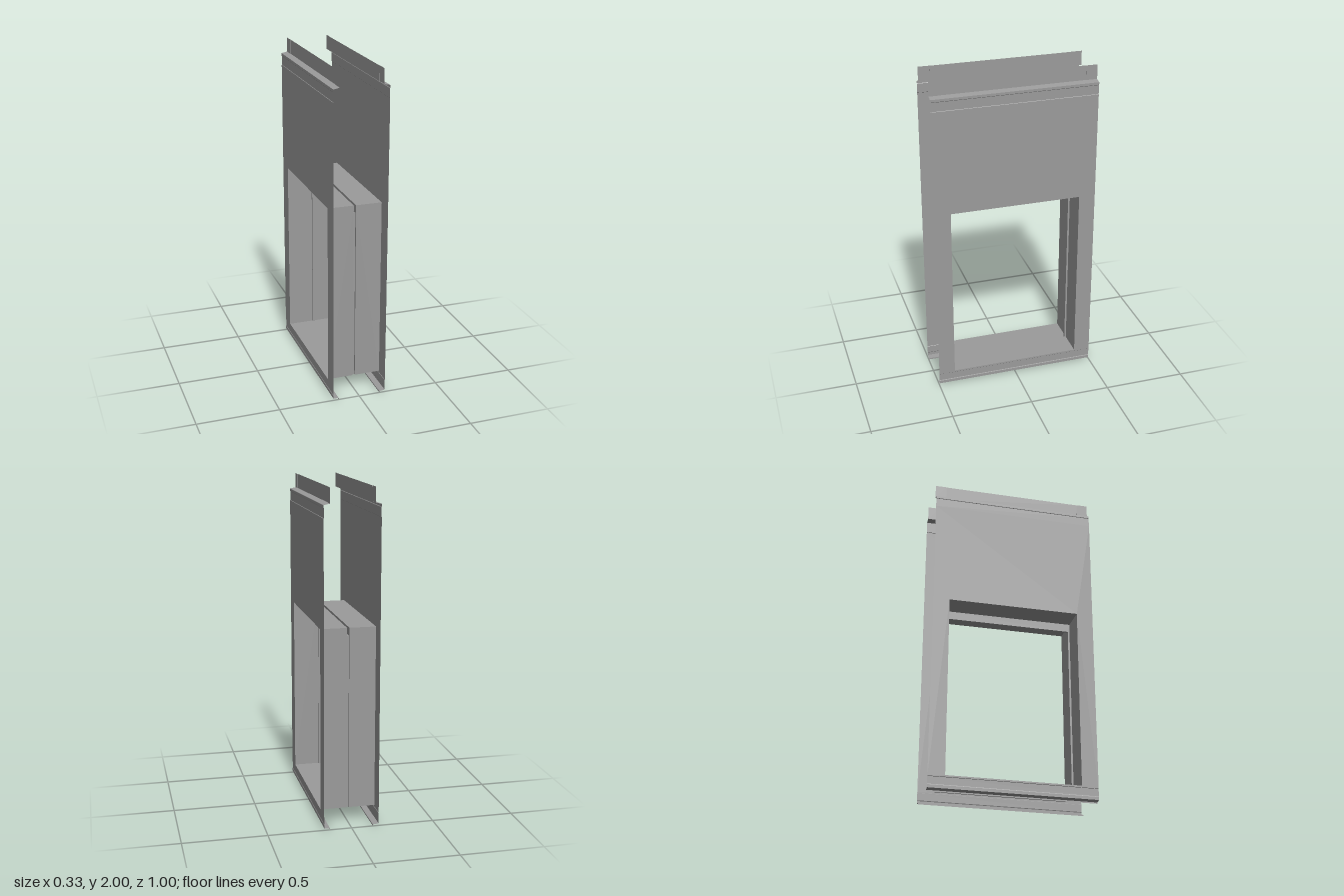
import * as THREE from 'three';

const material = new THREE.MeshStandardMaterial({
  color: 0x9b9b9b, flatShading: true, side: THREE.DoubleSide,
});

function addMesh(parent, name, geometry) {
  const mesh = new THREE.Mesh(geometry, material);
  mesh.name = name;
  parent.add(mesh);
}

// Folded sheet: sweeps a line of [a, b] points between two depths.
// place(a, b, d) turns them into a position.
function foldedSheet(points, d0, d1, place) {
  const pos = [];
  for (let i = 0; i < points.length - 1; i++) {
    const [a, b] = [points[i], points[i + 1]];
    const p = [place(...a, d0), place(...b, d0), place(...b, d1), place(...a, d1)];
    for (const k of [0, 1, 2, 0, 2, 3]) pos.push(...p[k]);
  }
  const g = new THREE.BufferGeometry();
  g.setAttribute('position', new THREE.Float32BufferAttribute(pos, 3));
  g.computeVertexNormals();
  return g;
}

const alongZ = (x, y, z) => [x, y, z];
const alongX = (z, y, x) => [x, y, z];
const alongY = (x, z, y) => [x, y, z];

const WALL = 0.165, BAND = 0.163, LIP = 0.1275, LIP_END = 0.1295, HALF = 0.498;
const OPEN_Z = 0.398, SILL = 0.09, HEAD = 1.188;
const SLOT = 0.007, SLOT_Z = 0.387, SLOT_HEAD = 1.138;

// Rectangle for outlines and holes
function rectangle(path, w, y0, y1) {
  path.moveTo(-w, y0);
  path.lineTo(w, y0);
  path.lineTo(w, y1);
  path.lineTo(-w, y1);
  path.closePath();
  return path;
}

// Closed loop of [z, y] points around an opening
const loop = (w, top) => [[-w, SILL], [-w, top], [w, top], [w, SILL], [-w, SILL]];

// Flat sheet with a hole, standing across x
function uprightSheet(w, y0, y1, holeW, hole1, x) {
  const shape = rectangle(new THREE.Shape(), w, y0, y1);
  shape.holes.push(rectangle(new THREE.Path(), holeW, SILL, hole1));
  return new THREE.ShapeGeometry(shape).rotateY(Math.PI / 2).translate(x, 0, 0);
}

// One outer sheet with its window, folded edges and half of the sleeve
function createSide() {
  const side = new THREE.Group();

  // flat wall with the window cut out
  addMesh(side, 'wallSheet', uprightSheet(HALF, 0.08, 1.83, OPEN_Z, HEAD, WALL));

  // shallow recessed band and shoulder along the top
  addMesh(side, 'topFold', foldedSheet([
    [WALL, 1.83], [BAND, 1.832], [BAND, 1.886], [WALL, 1.889],
    [WALL, 1.904], [LIP, 1.912],
  ], -HALF, HALF, alongZ));

  // upright lip, slightly stepped near both ends
  addMesh(side, 'topLip', foldedSheet([
    [LIP_END, -HALF], [LIP_END, -0.43], [LIP, -0.43],
    [LIP, 0.43], [LIP_END, 0.43], [LIP_END, HALF],
  ], 1.912, 2, alongY));

  // shallow recessed band and inward flange along the bottom
  addMesh(side, 'bottomFold', foldedSheet([
    [WALL, 0.08], [BAND, 0.078], [BAND, 0.034], [WALL, 0.03],
    [WALL, 0.012], [0.13, 0.008], [0.13, 0],
  ], -HALF, HALF, alongZ));

  // sleeve lining the window, reaching to the middle slot
  addMesh(side, 'windowSleeve', foldedSheet(loop(OPEN_Z, HEAD), SLOT, WALL, alongX));

  // narrow rim turned into the opening beside the slot
  const rim = new THREE.Shape([
    [-OPEN_Z, SILL], [-OPEN_Z, HEAD], [OPEN_Z, HEAD], [OPEN_Z, SILL],
    [SLOT_Z, SILL], [SLOT_Z, SLOT_HEAD], [-SLOT_Z, SLOT_HEAD], [-SLOT_Z, SILL],
  ].map(([z, y]) => new THREE.Vector2(z, y)));
  addMesh(side, 'sleeveRim',
    new THREE.ShapeGeometry(rim).rotateY(Math.PI / 2).translate(SLOT, 0, 0));
  return side;
}

export function createModel() {
  const model = new THREE.Group();
  model.name = 'doubleWallWindowPanel';

  // two mirrored sides
  for (const s of [1, -1]) {
    const side = createSide();
    side.name = s > 0 ? 'leftSide' : 'rightSide';
    side.scale.x = s;
    model.add(side);
  }

  // strip closing the bottom of the slot all the way round
  addMesh(model, 'slotStrip', foldedSheet(loop(SLOT_Z, SLOT_HEAD), -SLOT, SLOT, alongX));

  return model;
}
